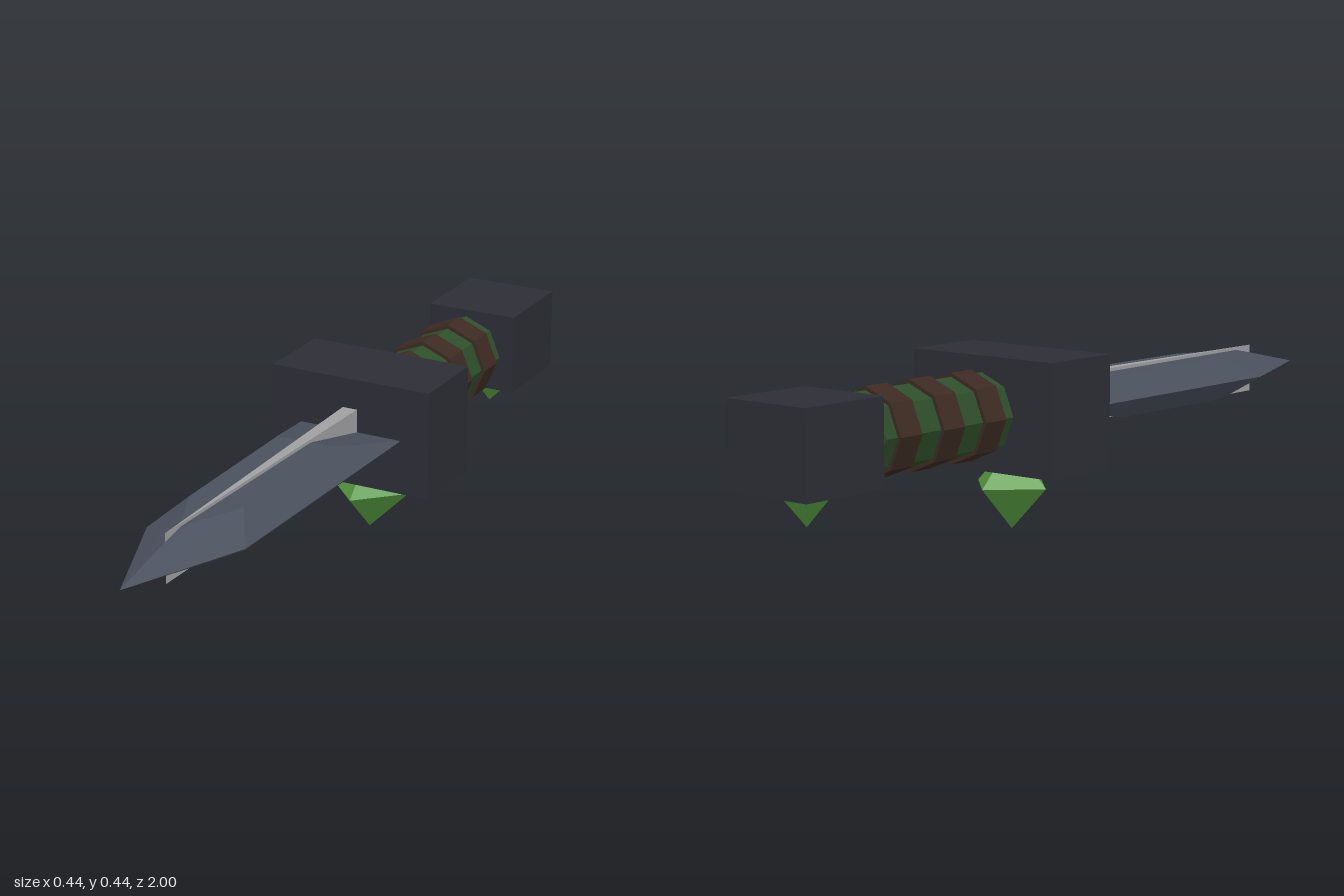
import * as THREE from 'three';
import { ConvexGeometry } from 'three/addons/geometries/ConvexGeometry.js';

const AXIS_Y = 0.298; // height of the dagger's long axis

function material(name, color) {
  const m = new THREE.MeshStandardMaterial({ color, flatShading: true });
  m.name = name;
  return m;
}

export function createModel() {
  const iron = material('dark iron', 0x2d2d36);
  const steel = material('blue steel', 0x4a505d);
  const silver = material('silver', 0xa0a0a2);
  const leaf = material('green grip', 0x2d4f2a);
  const leather = material('brown leather', 0x3d2b22);
  const emerald = material('emerald', 0x559a40);

  const model = new THREE.Group();
  model.name = 'dagger';

  function add(name, geometry, mat, x, y, z) {
    const mesh = new THREE.Mesh(geometry, mat);
    mesh.name = name;
    mesh.position.set(x, y, z);
    model.add(mesh);
    return mesh;
  }

  // Blade: flat outline at mid height, smaller raised flats above and below
  const points = [new THREE.Vector3(0, 0, 1)];
  for (const sx of [-1, 1]) {
    points.push(new THREE.Vector3(sx * 0.14, 0, -0.07), new THREE.Vector3(sx * 0.13, 0, 0.68));
    for (const sy of [-1, 1]) {
      points.push(
        new THREE.Vector3(sx * 0.077, sy * 0.054, 0.165),
        new THREE.Vector3(sx * 0.072, sy * 0.054, 0.585)
      );
    }
  }
  for (const sy of [-1, 1]) points.push(new THREE.Vector3(0, sy * 0.054, 0.75));
  add('blade', new ConvexGeometry(points), steel, 0, AXIS_Y, 0);

  // Tapering spine that runs through the blade
  const spine = new THREE.Shape([
    new THREE.Vector2(-0.02, 0.07),
    new THREE.Vector2(0.02, 0.07),
    new THREE.Vector2(0, -0.81),
  ]);
  const spineGeometry = new THREE.ExtrudeGeometry(spine, { depth: 0.124, bevelEnabled: false });
  spineGeometry.translate(0, 0, -0.062).rotateX(-Math.PI / 2);
  add('spine', spineGeometry, silver, 0, AXIS_Y, 0);

  // Guard and pommel blocks
  add('guard', new THREE.BoxGeometry(0.436, 0.28, 0.218), iron, 0, AXIS_Y, -0.171);
  add('pommel', new THREE.BoxGeometry(0.248, 0.212, 0.248), iron, 0, AXIS_Y, -0.876);

  // Eight-sided grip with three leather bands
  const rod = (radius, length) =>
    new THREE.CylinderGeometry(radius, radius, length, 8).rotateX(Math.PI / 2);
  add('grip', rod(0.1, 0.44), leaf, 0, AXIS_Y, -0.5);
  for (const z of [-0.353, -0.498, -0.645]) {
    add('gripBand', rod(0.11, 0.072), leather, 0, AXIS_Y, z);
  }

  // Gems set under the guard and pommel
  add('guardGem', new THREE.OctahedronGeometry(0.109), emerald, 0, 0.111, -0.171);
  add('pommelGem', new THREE.OctahedronGeometry(0.08), emerald, 0, 0.188, -0.876);

  return model;
}
